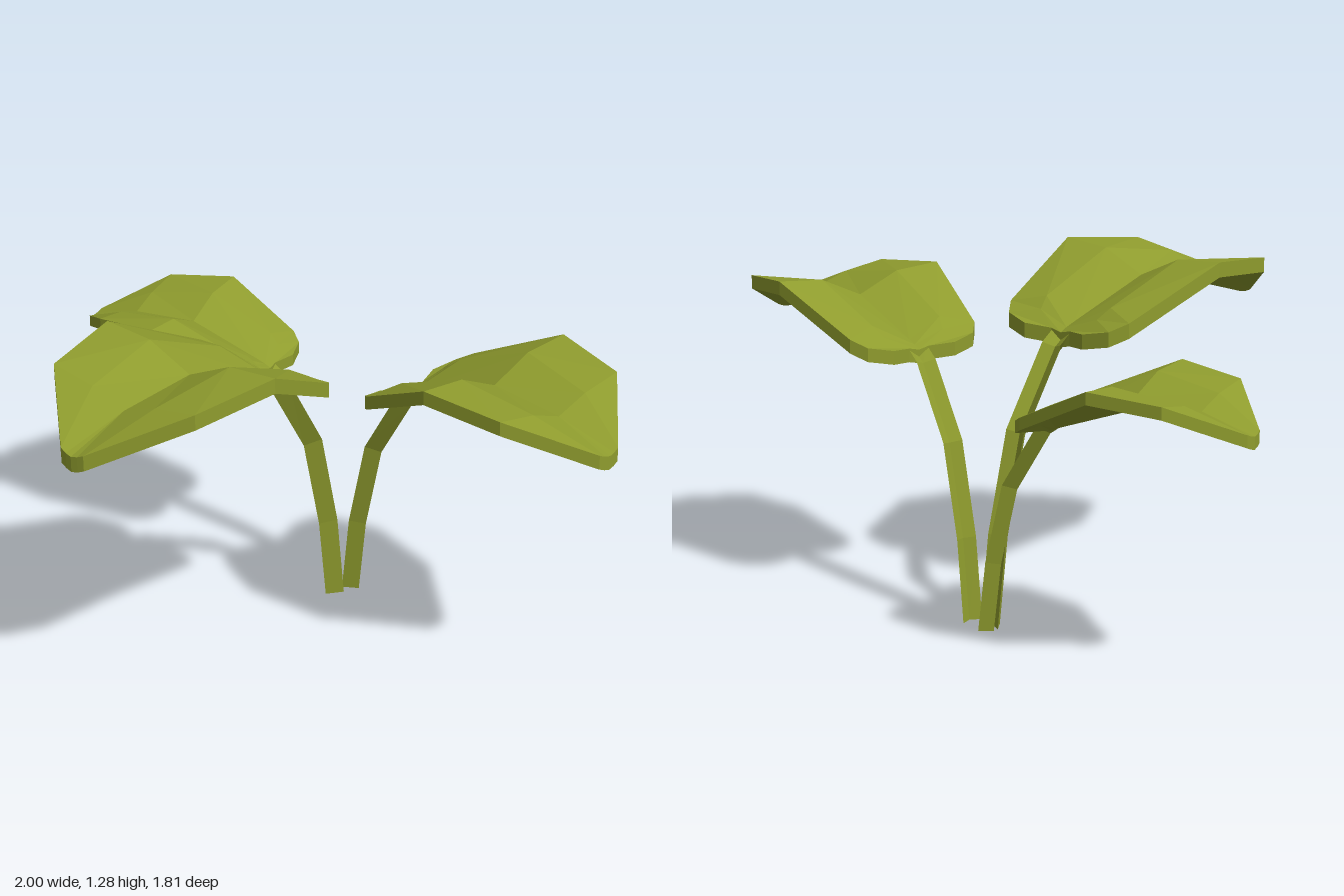
import * as THREE from 'three';

const material = new THREE.MeshStandardMaterial({ color: 0x8f9c2e, flatShading: true });

function toGeometry(points, faces) {
  const indexed = new THREE.BufferGeometry();
  indexed.setAttribute('position', new THREE.Float32BufferAttribute(points.flat(), 3));
  indexed.setIndex(faces);
  const geometry = indexed.toNonIndexed();
  geometry.computeVertexNormals();
  return geometry;
}

// Blade rows from base to tip; each holds midrib, crease and margin as [sideways, height, along]
const BLADE_ROWS = [
  [[0, 1.03, 0.35], [0.045, 1.04, 0.35], [0.145, 1.05, 0.31]],
  [[0, 1.045, 0.38], [0.14, 1.09, 0.39], [0.25, 1.07, 0.335]],
  [[0, 1.06, 0.42], [0.16, 1.13, 0.44], [0.296, 1.1, 0.39]],
  [[0, 1.185, 0.775], [0.18, 1.265, 0.775], [0.379, 1.28, 0.775]],
  [[0, 1.17, 1.1], [0.14, 1.22, 1.1], [0.317, 1.25, 1.1]],
  [[0, 1.1, 1.353], [0.025, 1.105, 1.35], [0.05, 1.115, 1.346]],
];

// Folded blade: mirrored top grid, a copy below it and a rim between them
function bladeGeometry(thickness = 0.055) {
  const cols = 5, rows = BLADE_ROWS.length, count = rows * cols;
  const top = BLADE_ROWS.flatMap(([mid, crease, margin]) => {
    const flip = ([x, y, z]) => [-x, y, z];
    return [flip(margin), flip(crease), mid, crease, margin];
  });
  const points = [...top, ...top.map(([x, y, z]) => [x, y - thickness, z])];
  const faces = [];
  for (let i = 0; i < rows - 1; i++) {
    for (let j = 0; j < cols - 1; j++) {
      const a = i * cols + j, b = a + cols, c = b + 1, d = a + 1;
      // Split the quads symmetrically about the midrib
      const tris = j < 2 ? [a, b, d, b, c, d] : [a, b, c, a, c, d];
      faces.push(...tris, ...tris.map((k) => k + count).reverse());
    }
  }
  // Walk round the edge in the order base, right margin, tip, left margin
  const rim = [];
  for (let j = 0; j < cols - 1; j++) rim.push(j);
  for (let i = 0; i < rows - 1; i++) rim.push(i * cols + cols - 1);
  for (let j = cols - 1; j > 0; j--) rim.push((rows - 1) * cols + j);
  for (let i = rows - 1; i > 0; i--) rim.push(i * cols);
  rim.forEach((a, k) => {
    const b = rim[(k + 1) % rim.length];
    faces.push(a, b, b + count, a, b + count, a + count);
  });
  return toGeometry(points, faces);
}

// Grooved stalk: a chevron section swept along a bending path of [along, height]
function stalkGeometry() {
  const path = [[0, 0], [0.04, 0.33], [0.13, 0.7], [0.31, 0.99], [0.37, 1.035]];
  const section = [[-0.045, 0.01], [0, -0.045], [0.045, 0.01], [0, -0.015]];
  const points = [], faces = [];
  path.forEach(([z, y], i) => {
    const p = path[Math.max(i - 1, 0)], q = path[Math.min(i + 1, path.length - 1)];
    const t = new THREE.Vector2(q[0] - p[0], q[1] - p[1]).normalize();
    for (const [x, n] of section) points.push([x, Math.max(0, y + n * t.x), z - n * t.y]);
  });
  for (let i = 0; i < path.length - 1; i++) {
    for (let j = 0; j < 4; j++) {
      const a = i * 4 + j, b = i * 4 + ((j + 1) % 4);
      faces.push(a, b, b + 4, a, b + 4, a + 4);
    }
  }
  const e = (path.length - 1) * 4;
  faces.push(0, 3, 1, 1, 3, 2, e, e + 1, e + 3, e + 1, e + 2, e + 3);
  return toGeometry(points, faces);
}

export function createModel() {
  const model = new THREE.Group();
  model.name = 'plant';
  const blade = bladeGeometry(), stalk = stalkGeometry();
  // Root position, heading in x and z, and size of each leaf
  const leaves = [
    { name: 'largeLeaf', root: [-0.01, 0, -0.24], heading: [-0.562, 0.828], size: 1 },
    { name: 'mediumLeaf', root: [0.06, 0.02, -0.25], heading: [0.739, 0.674], size: 0.915 },
    { name: 'smallLeaf', root: [-0.01, 0.02, -0.33], heading: [-0.914, -0.405], size: 0.79 },
  ];
  for (const { name, root, heading, size } of leaves) {
    const leaf = new THREE.Group();
    leaf.name = name;
    for (const [part, geometry] of [['blade', blade], ['stalk', stalk]]) {
      const mesh = new THREE.Mesh(geometry, material);
      mesh.name = part;
      leaf.add(mesh);
    }
    leaf.position.set(...root);
    leaf.rotation.y = Math.atan2(heading[0], heading[1]);
    leaf.scale.setScalar(size);
    model.add(leaf);
  }
  return model;
}
